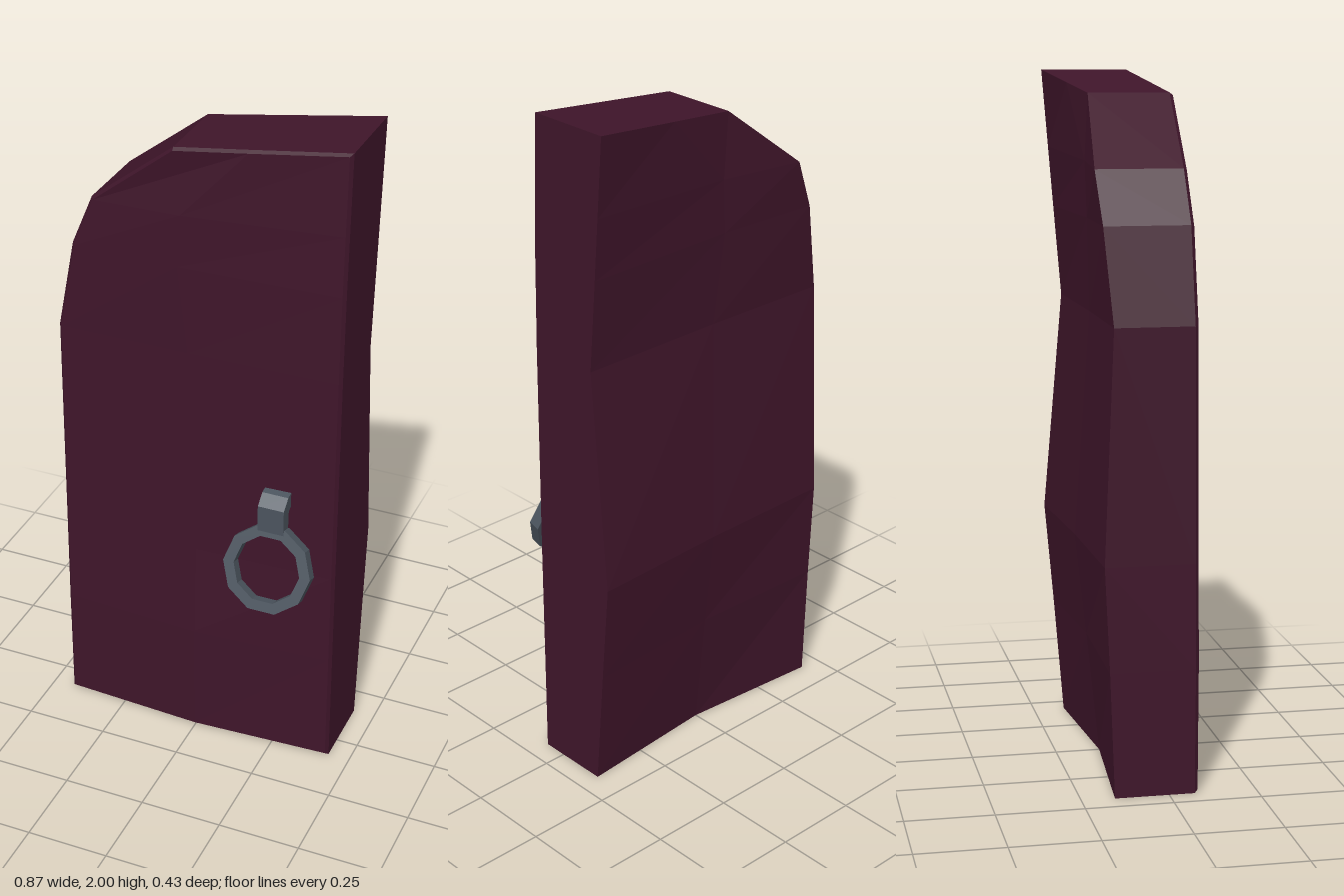
import * as THREE from 'three';

const wood = new THREE.MeshStandardMaterial({ color: 0x3f152a, flatShading: true });
const iron = new THREE.MeshStandardMaterial({ color: 0x4b545e, flatShading: true });

// Rows from bottom to top; each has left, middle and right points: x, y, front z, back z
const ROWS = [
  [[-0.435, 0, 0.083, -0.155], [0, 0, 0.105, -0.12], [0.433, 0, 0.083, -0.155]],
  [[-0.435, 0.36, 0.085, -0.168], [0, 0.36, 0.108, -0.157], [0.433, 0.36, 0.083, -0.185]],
  [[-0.435, 0.66, 0.083, -0.182], [0, 0.66, 0.095, -0.19], [0.433, 0.66, 0.083, -0.212]],
  [[-0.435, 1.32, 0.08, -0.155], [-0.03, 1.32, 0.083, -0.15], [0.433, 1.32, 0.08, -0.155]],
  [[-0.385, 1.59, 0.078, -0.175], [-0.06, 1.59, 0.085, -0.162], [0.433, 1.59, 0.075, -0.178]],
  [[-0.325, 1.74, 0.07, -0.187], [-0.05, 1.75, 0.085, -0.166], [0.433, 1.77, 0.068, -0.193]],
  [[-0.07, 1.94, 0.085, -0.16], [0.15, 1.966, 0.074, -0.183], [0.433, 2, 0.058, -0.212]],
];

function doorGeometry() {
  const pos = [];
  const quad = (a, b, c, d) => pos.push(...a, ...b, ...c, ...a, ...c, ...d);
  // face is inset a little from the rim to make the narrow bevel
  const face = ([x, y, f]) => [x * 0.98, 1 + (y - 1) * 0.992, f];
  const rim = ([x, y, f]) => [x, y, f - 0.01];
  const back = ([x, y, , b]) => [x, y, b];

  // front and back surfaces
  for (let r = 0; r < ROWS.length - 1; r++) {
    for (let c = 0; c < 2; c++) {
      const q = [ROWS[r][c], ROWS[r][c + 1], ROWS[r + 1][c + 1], ROWS[r + 1][c]];
      quad(...q.map(face));
      quad(...q.map(back).reverse());
    }
  }
  // side walls and front bevel around the outline
  const top = ROWS.length - 1;
  const loop = [
    ...ROWS[0],
    ...ROWS.slice(1, top).map((r) => r[2]),
    ...[...ROWS[top]].reverse(),
    ...ROWS.slice(1, top).map((r) => r[0]).reverse(),
  ];
  loop.forEach((p, i) => {
    const n = loop[(i + 1) % loop.length];
    quad(back(p), back(n), rim(n), rim(p));
    quad(rim(p), rim(n), face(n), face(p));
  });

  const g = new THREE.BufferGeometry();
  g.setAttribute('position', new THREE.Float32BufferAttribute(pos, 3));
  g.computeVertexNormals();
  return g;
}

// Ten-sided ring with a rectangular section
function ringGeometry() {
  const h = 0.018;
  const section = [[0.102, -h], [0.135, -h], [0.135, h], [0.102, h], [0.102, -h]];
  const g = new THREE.LatheGeometry(section.map(([x, y]) => new THREE.Vector2(x, y)), 10);
  return g.rotateY(Math.PI / 2).rotateX(Math.PI / 2);
}

// Bent strap holding the ring, drawn in side profile (z, y)
function strapGeometry() {
  const profile = [[0.06, 0.9], [0.102, 0.878], [0.105, 0.815], [0.142, 0.815],
    [0.142, 0.9], [0.108, 0.928], [0.06, 0.937]];
  const shape = new THREE.Shape(profile.map(([z, y]) => new THREE.Vector2(z, y)));
  const g = new THREE.ExtrudeGeometry(shape, { depth: 0.08, bevelEnabled: false });
  return g.rotateY(-Math.PI / 2).translate(0.295, 0, 0);
}

export function createModel() {
  const model = new THREE.Group();
  model.name = 'door';
  const add = (name, geometry, material, parent) => {
    const mesh = new THREE.Mesh(geometry, material);
    mesh.name = name;
    parent.add(mesh);
    return mesh;
  };

  add('doorPanel', doorGeometry(), wood, model);

  const handle = new THREE.Group();
  handle.name = 'handle';
  model.add(handle);
  const ring = add('handleRing', ringGeometry(), iron, handle);
  ring.position.set(0.257, 0.705, 0.158);
  ring.rotation.x = -0.3;
  add('handleStrap', strapGeometry(), iron, handle);
  return model;
}
